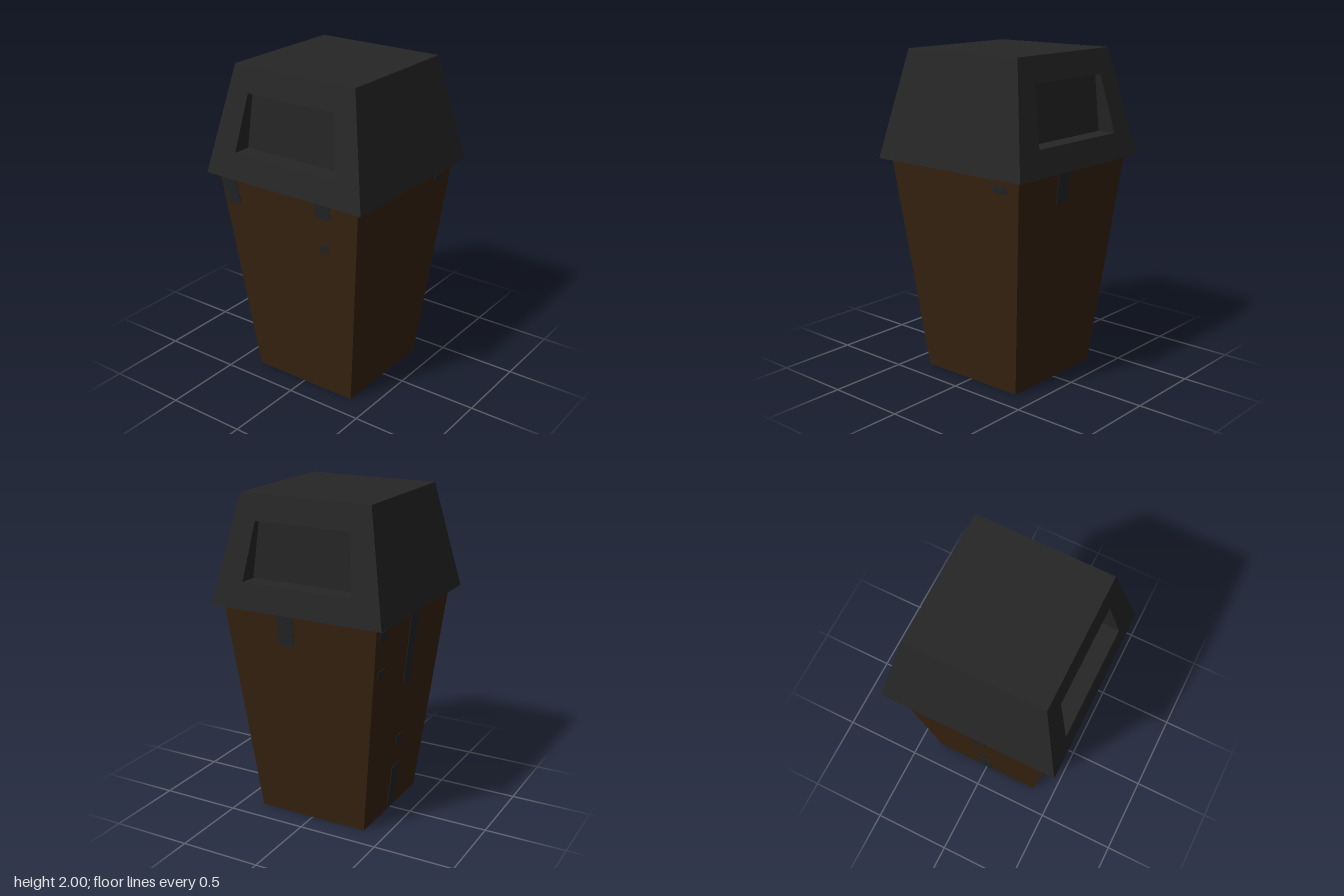
import * as THREE from 'three';

const material = (name, color) => {
  const m = new THREE.MeshStandardMaterial({ color, side: THREE.DoubleSide });
  m.name = name;
  return m;
};

// Square tapered shells: half widths at the two heights
const BODY = { y0: 0, y1: 1.335, h0: 0.357, h1: 0.5 };
const LID = { y0: 1.345, y1: 2, h0: 0.556, h1: 0.42 };
const RIM = { y0: 1.335, y1: 1.345, h0: 0.498, h1: 0.556 };

const halfAt = (t, y) => t.h0 + (t.h1 - t.h0) * (y - t.y0) / (t.y1 - t.y0);

// Shape in wall coordinates (across, up the slope) from [x, y] points
function wallShape(t, points) {
  const stretch = Math.hypot(t.h1 - t.h0, t.y1 - t.y0) / (t.y1 - t.y0);
  return new THREE.Shape(points.map(([x, y]) => new THREE.Vector2(x, (y - t.y0) * stretch)));
}

// Tilts a flat geometry onto the wall on one side (0 front, 1 left, 2 back, 3 right)
function placeOnWall(geometry, t, side) {
  return geometry
    .rotateX(Math.atan2(t.h1 - t.h0, t.y1 - t.y0))
    .translate(0, t.y0, t.h0)
    .rotateY(side * Math.PI / 2);
}

function wall(t, side, hole) {
  const shape = wallShape(t, [[-t.h0, t.y0], [t.h0, t.y0], [t.h1, t.y1], [-t.h1, t.y1]]);
  if (hole) shape.holes.push(wallShape(t, hole));
  return placeOnWall(new THREE.ShapeGeometry(shape), t, side);
}

function quad(a, b, c, d) {
  const g = new THREE.BufferGeometry();
  g.setAttribute('position', new THREE.Float32BufferAttribute([...a, ...b, ...c, ...d], 3));
  g.setIndex([0, 1, 2, 0, 2, 3]);
  g.computeVertexNormals();
  return g;
}

const rect = (x0, x1, y0, y1) => [[x0, y0], [x1, y0], [x1, y1], [x0, y1]];

export function createModel() {
  const model = new THREE.Group();
  model.name = 'trashCan';
  const brown = material('dark brown', 0x352210);
  const black = material('charcoal', 0x262626);
  const grey = material('worn grey', 0x222426);

  const addMesh = (parent, name, geometry, mat) => {
    const mesh = new THREE.Mesh(geometry, mat);
    mesh.name = name;
    parent.add(mesh);
  };
  const group = (name) => {
    const g = new THREE.Group();
    g.name = name;
    model.add(g);
    return g;
  };

  const body = group('body');
  const lid = group('lid');
  const wear = group('wornPatches');

  // Opening in the front and back of the lid
  const opening = [[-0.355, 1.5], [0.355, 1.5], [0.305, 1.85], [-0.305, 1.85]];
  const recessZ = 0.41;

  for (let side = 0; side < 4; side++) {
    addMesh(body, 'bodyWall', wall(BODY, side), brown);
    addMesh(lid, 'lidRim', wall(RIM, side), black);
    const open = side % 2 === 0;
    addMesh(lid, 'lidWall', wall(LID, side, open ? opening : null), black);
    if (!open) continue;

    // Recess: four walls running straight inwards to an upright panel
    const outer = opening.map(([x, y]) => [x, y, halfAt(LID, y)]);
    const inner = opening.map(([x, y]) => [x, y, recessZ]);
    for (let i = 0; i < 4; i++) {
      const j = (i + 1) % 4;
      addMesh(lid, 'recessSide', quad(outer[i], outer[j], inner[j], inner[i]).rotateY(side * Math.PI / 2), black);
    }
    addMesh(lid, 'recessPanel', quad(...inner).rotateY(side * Math.PI / 2), black);
  }

  // Flat top of the lid
  const top = new THREE.PlaneGeometry(LID.h1 * 2, LID.h1 * 2).rotateX(-Math.PI / 2).translate(0, LID.y1, 0);
  addMesh(lid, 'lidTop', top, black);

  // Worn patches, per side, showing through both faces of the wall
  const patches = [
    [
      [[-0.49, 1.325], [-0.46, 1.155], [-0.365, 1.16], [-0.365, 1.21], [-0.385, 1.325]],
      rect(0.2, 0.305, 1.23, 1.33),
      [[0.215, 1.005], [0.27, 1.005], [0.28, 1.03], [0.265, 1.06], [0.23, 1.055]],
    ],
    [[[0.33, 1.25], [0.39, 1.25], [0.42, 1.275], [0.39, 1.295], [0.31, 1.29], [0.3, 1.26]]],
    [rect(-0.145, -0.04, 1.145, 1.33)],
    [
      [[-0.035, 0.85], [0.055, 0.85], [0.058, 1.33], [-0.045, 1.33]],
      rect(-0.035, 0.045, 0.45, 0.51),
      rect(-0.045, 0.045, 0.005, 0.3),
      rect(-0.46, -0.36, 1.245, 1.3),
      rect(-0.42, -0.335, 1.01, 1.06),
    ],
  ];
  patches.forEach((list, side) => list.forEach((points) => {
    const plate = new THREE.ExtrudeGeometry(wallShape(BODY, points), { depth: 0.006, bevelEnabled: false });
    addMesh(wear, 'wornPatch', placeOnWall(plate.translate(0, 0, -0.003), BODY, side), grey);
  }));

  return model;
}
